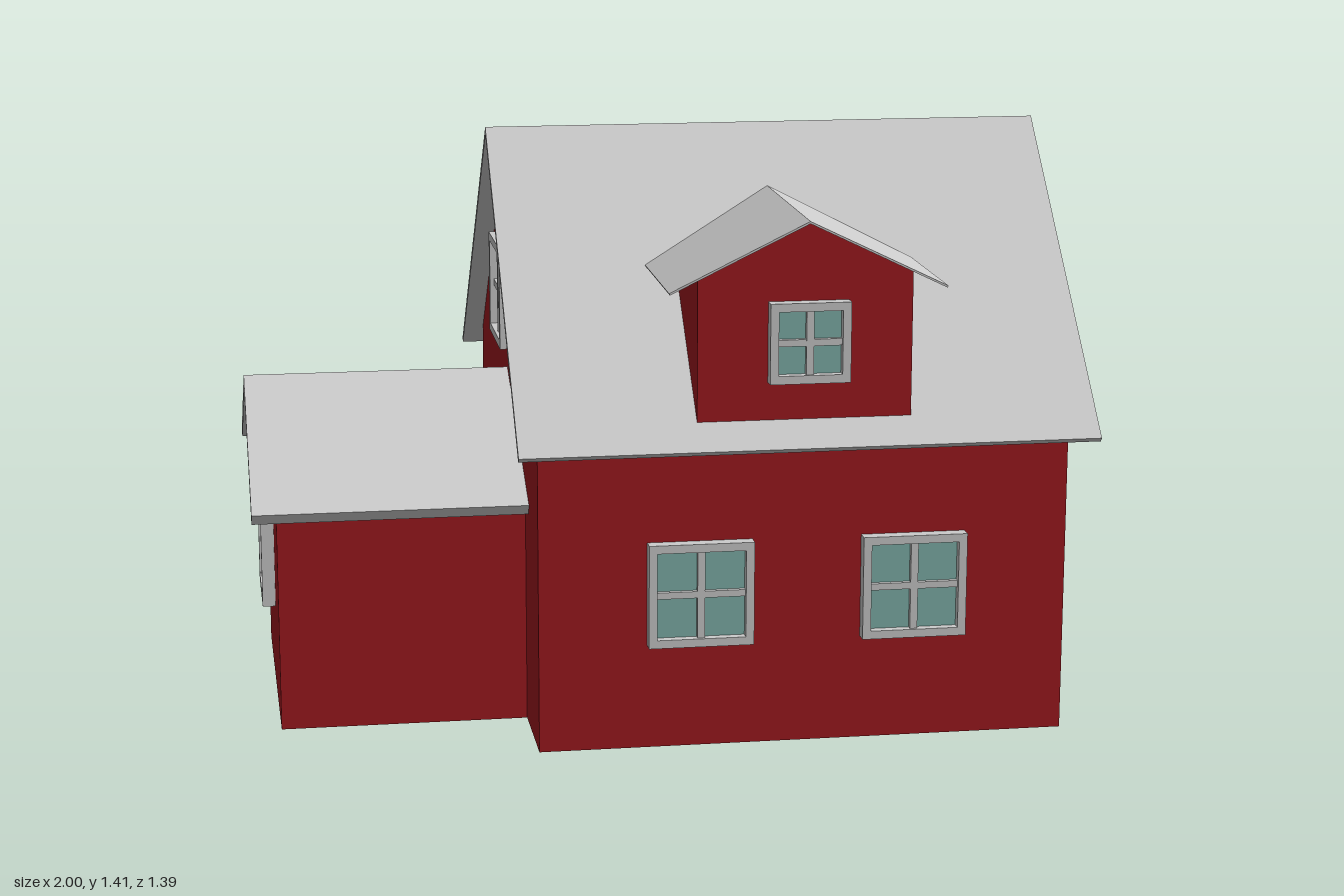
import * as THREE from 'three';

const material = (color) => new THREE.MeshStandardMaterial({ color });

export function createModel() {
  const house = new THREE.Group();
  house.name = 'house';
  const red = material(0xa01a20), grey = material(0xcccccc);
  const teal = material(0x80b2ab), brown = material(0x81704d);

  const add = (parent, name, geometry, mat) => {
    const mesh = new THREE.Mesh(geometry, mat);
    mesh.name = name;
    parent.add(mesh);
    return mesh;
  };
  const shapeOf = (pts) => new THREE.Shape(pts.map(([x, y]) => new THREE.Vector2(x, y)));
  const extrude = (shape, depth) => new THREE.ExtrudeGeometry(shape, { depth, bevelEnabled: false });
  const box = (w, h, d, x, y, z) => new THREE.BoxGeometry(w, h, d).translate(x, y, z);
  const rect = (x0, y0, x1, y1) => [[x0, y0], [x1, y0], [x1, y1], [x0, y1]];
  // Rectangular border of given depth, standing on z = 0
  const border = (outer, inner, depth) => {
    const shape = shapeOf(rect(...outer));
    shape.holes.push(new THREE.Path(rect(...inner).reverse().map(([x, y]) => new THREE.Vector2(x, y))));
    return extrude(shape, depth);
  };

  // Gabled walls and folded roof slabs, both extruded along z
  const gableWalls = (half, base, eave, apex, length) =>
    extrude(shapeOf([[-half, base], [half, base], [half, eave], [0, apex], [-half, eave]]), length);
  const foldedRoof = (half, eave, ridge, thick, length) => {
    const slope = (ridge - eave) / half, n = Math.hypot(1, slope);
    const x = half - thick * slope / n, y = eave - thick / n;
    return extrude(shapeOf([[half, eave], [0, ridge], [-half, eave],
      [-x, y], [0, ridge - thick * n], [x, y]]), length);
  };
  // Turn a z extrusion so that it starts at startX and runs along x
  const alongX = (geometry, startX, z = 0) => geometry.rotateY(Math.PI / 2).translate(startX, 0, z);

  // Main house
  add(house, 'mainWalls', alongX(gableWalls(0.635, 0, 0.773, 1.39, 1.275), -0.34), red);
  add(house, 'mainRoof', alongX(foldedRoof(0.695, 0.735, 1.41, 0.014, 1.39), -0.39), grey);

  // Side wing
  add(house, 'wingWalls', alongX(gableWalls(0.385, 0, 0.569, 0.769, 0.6), -0.94, -0.008), red);
  add(house, 'wingRoof', alongX(foldedRoof(0.463, 0.56, 0.8, 0.028, 0.66), -1, -0.008), grey);

  // Dormer: back edges slide along z until they meet the main roof slope
  const meetRoof = (geometry, front) => {
    const p = geometry.attributes.position;
    for (let i = 0; i < p.count; i++) {
      const back = (1.405 - p.getY(i)) / 0.971;
      p.setZ(i, p.getZ(i) > 0.5 ? front : Math.min(back, front));
    }
    geometry.computeVertexNormals();
    return geometry.translate(0.293, 0, 0);
  };
  const dormer = new THREE.Group();
  dormer.name = 'dormer';
  house.add(dormer);
  add(dormer, 'dormerWalls', meetRoof(gableWalls(0.256, 0.793, 1.14, 1.264, 1), 0.635), red);
  add(dormer, 'dormerRoof', meetRoof(foldedRoof(0.33, 1.11, 1.27, 0.005, 1), 0.677), grey);

  // Four-pane window facing its own +z, placed by its centre on the wall
  const addWindow = (name, size, x, y, z, turn) => {
    const g = new THREE.Group();
    g.name = name;
    const h = size / 2, i = h - 0.02, bar = 0.018;
    add(g, 'windowFrame', border([-h, -h, h, h], [-i, -i, i, i], 0.032), grey);
    add(g, 'verticalBar', box(bar, 2 * i, 0.024, 0, 0, 0.012), grey);
    add(g, 'horizontalBar', box(2 * i, bar * 0.9, 0.022, 0, 0, 0.011), grey);
    add(g, 'glass', box(2 * i, 2 * i, 0.01, 0, 0, 0.005), teal);
    g.position.set(x, y, z);
    g.rotation.y = turn;
    house.add(g);
  };
  for (const x of [0.045, 0.56]) {
    addWindow('frontWindow', 0.252, x, 0.38, 0.635, 0);
    addWindow('backWindow', 0.252, x, 0.388, -0.635, Math.PI);
  }
  addWindow('dormerWindow', 0.192, 0.3, 0.98, 0.635, 0);
  addWindow('gableWindow', 0.252, 0.935, 1.0, 0.002, Math.PI / 2);
  addWindow('gableWindow', 0.252, -0.34, 1.0, 0.002, -Math.PI / 2);
  addWindow('sideWindow', 0.252, 0.935, 0.383, 0.267, Math.PI / 2);
  addWindow('wingWindow', 0.252, -0.94, 0.365, 0.005, -Math.PI / 2);

  // Door with a small light at the top
  const door = new THREE.Group();
  door.name = 'door';
  add(door, 'doorFrame', border([-0.127, 0, 0.127, 0.505], [-0.119, 0.018, 0.119, 0.492], 0.032), brown);
  add(door, 'doorPanel', box(0.238, 0.474, 0.022, 0, 0.255, 0.011), brown);
  add(door, 'lightTrim', border([-0.04, 0.345, 0.04, 0.492], [-0.029, 0.36, 0.029, 0.475], 0.028), brown);
  add(door, 'doorGlass', box(0.058, 0.115, 0.024, 0, 0.4175, 0.012), teal);
  door.position.set(0.935, 0, -0.256);
  door.rotation.y = Math.PI / 2;
  house.add(door);

  return house;
}
